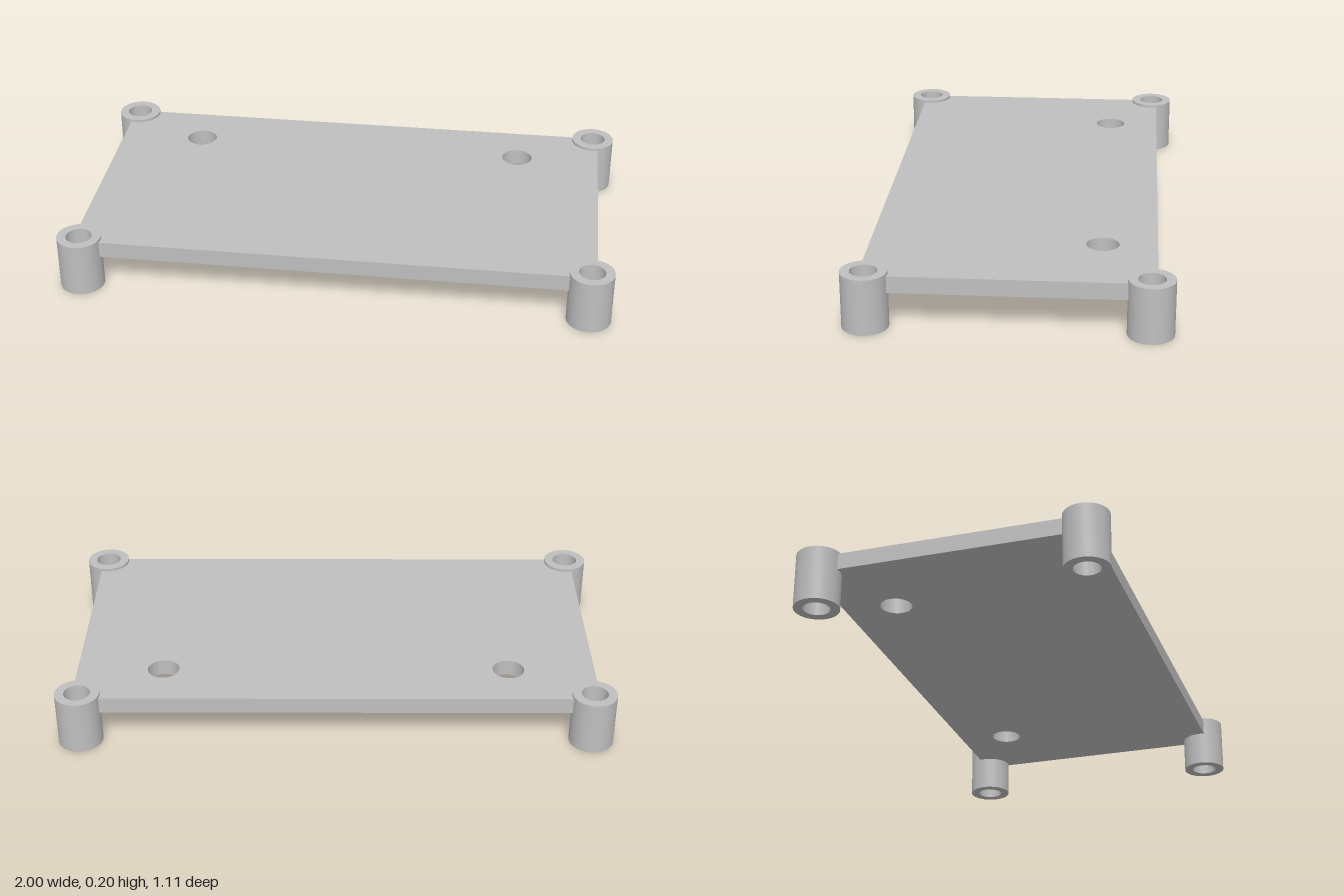
import * as THREE from 'three';
import { toCreasedNormals } from 'three/addons/utils/BufferGeometryUtils.js';

const POST_X = 0.92, POST_Z = 0.476, POST_R = 0.08, BORE_R = 0.047, POST_H = 0.2;
const PLATE_Y = 0.13, PLATE_T = 0.06, OVERHANG = 0.02;

// Flat plate with corners notched around the posts and two drilled holes
function plateGeometry() {
  const r = 0.07; // notch edge is hidden inside the post wall
  const a = Math.asin(OVERHANG / r);
  const shape = new THREE.Shape();
  [[1, -1], [1, 1], [-1, 1], [-1, -1]].forEach(([sx, sy], i) => {
    const turn = i * Math.PI / 2;
    shape.absarc(sx * POST_X, sy * POST_Z, r, turn + Math.PI + a, turn + Math.PI / 2 - a, true);
  });
  shape.closePath();
  for (const sx of [-1, 1]) {
    const hole = new THREE.Path();
    hole.absarc(sx * 0.627, 0.307, 0.057, 0, Math.PI * 2, true);
    shape.holes.push(hole);
  }
  const geo = new THREE.ExtrudeGeometry(shape, { depth: PLATE_T, bevelEnabled: false, curveSegments: 24 });
  geo.rotateX(-Math.PI / 2);
  return toCreasedNormals(geo, 0.5);
}

// Hollow cylindrical post
function postGeometry() {
  const profile = [[BORE_R, 0], [POST_R, 0], [POST_R, POST_H], [BORE_R, POST_H], [BORE_R, 0]]
    .map(([x, y]) => new THREE.Vector2(x, y));
  return toCreasedNormals(new THREE.LatheGeometry(profile, 48), 0.5);
}

export function createModel() {
  const model = new THREE.Group();
  model.name = 'mountingPlate';
  const grey = new THREE.MeshStandardMaterial({ color: 0xbfbfbf });
  grey.name = 'grey';

  const plate = new THREE.Mesh(plateGeometry(), grey);
  plate.name = 'plate';
  plate.position.y = PLATE_Y;
  model.add(plate);

  // One post at each corner
  const postGeo = postGeometry();
  for (const sx of [-1, 1]) for (const sz of [-1, 1]) {
    const post = new THREE.Mesh(postGeo, grey);
    post.name = (sz > 0 ? 'front' : 'back') + (sx > 0 ? 'Left' : 'Right') + 'Post';
    post.position.set(sx * POST_X, 0, sz * POST_Z);
    model.add(post);
  }
  return model;
}
